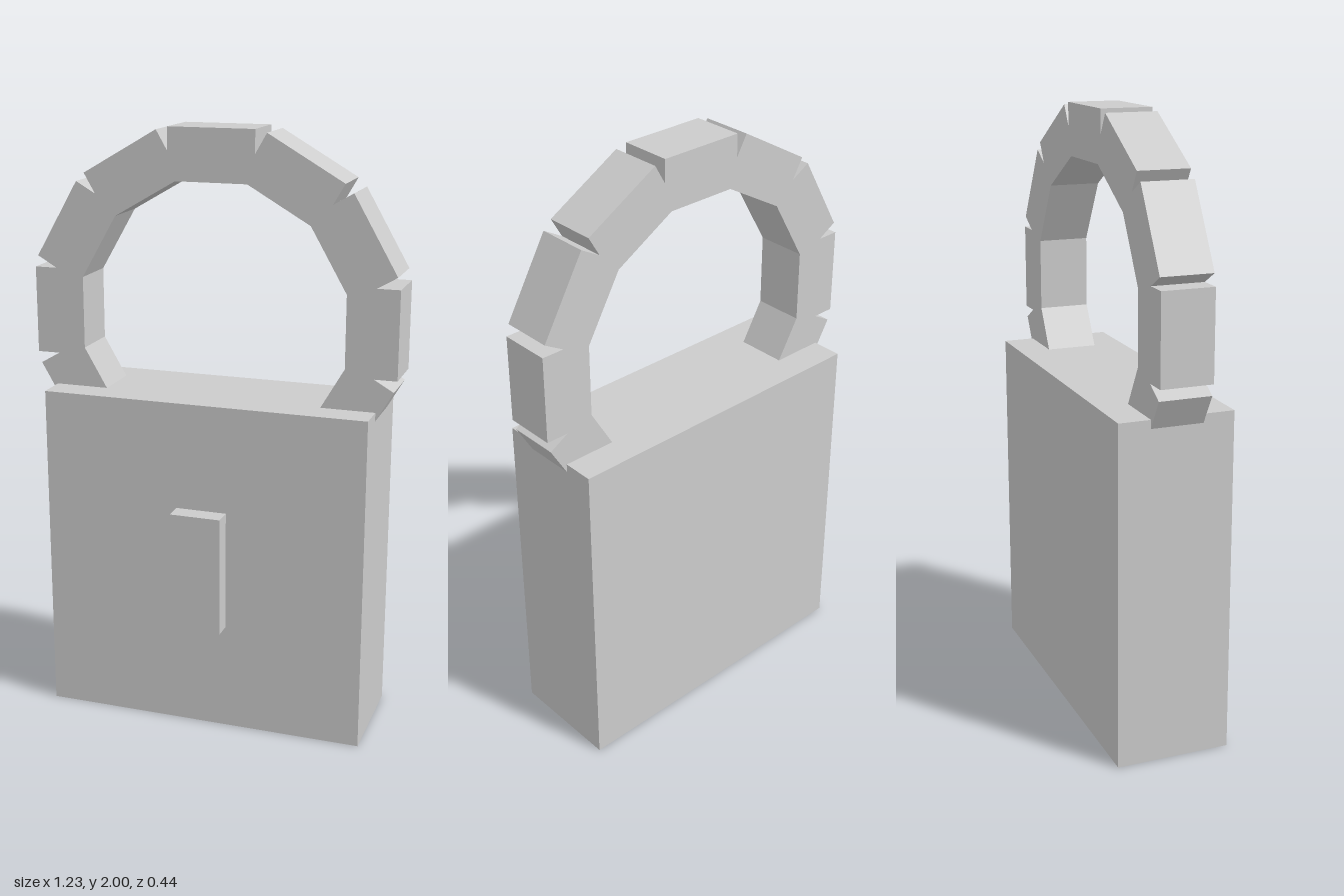
import * as THREE from 'three';

export function createModel() {
  const model = new THREE.Group();
  model.name = 'padlock';
  const grey = new THREE.MeshStandardMaterial({ color: 0xcccccc });
  grey.name = 'light grey';

  const addBox = (name, w, h, d, x, y, z) => {
    const mesh = new THREE.Mesh(new THREE.BoxGeometry(w, h, d), grey);
    mesh.name = name;
    mesh.position.set(x, y, z);
    model.add(mesh);
  };

  // Lock body and raised keyhole plate
  addBox('body', 1.1, 1.13, 0.377, 0, 0.565, -0.0325);
  addBox('keyholePlate', 0.172, 0.405, 0.075, 0, 0.5675, 0.1835);

  // Shackle: nine straight links around an arc, with V notches between them
  const centreY = 1.383, outer = 0.617, inner = 0.447, half = 0.145;
  const slope = Math.tan(Math.PI / 12);
  const links = Array.from({ length: 9 }, (_, i) => ((i * 30 - 30) * Math.PI) / 180);
  const at = (angle, radial, along) =>
    new THREE.Vector2(radial, along).rotateAround(new THREE.Vector2(), angle);

  const outline = [at(links[0], half / slope, -half)];
  for (const a of links) {
    outline.push(at(a, outer, -half), at(a, outer, half), at(a, half / slope, half));
  }
  for (const a of [...links].reverse()) outline.push(at(a, inner, inner * slope));
  outline.push(at(links[0], inner, -inner * slope));

  const shackle = new THREE.Mesh(
    new THREE.ExtrudeGeometry(new THREE.Shape(outline), { depth: 0.171, bevelEnabled: false }),
    grey
  );
  shackle.name = 'shackle';
  shackle.position.set(0, centreY, -0.117);
  model.add(shackle);

  return model;
}
